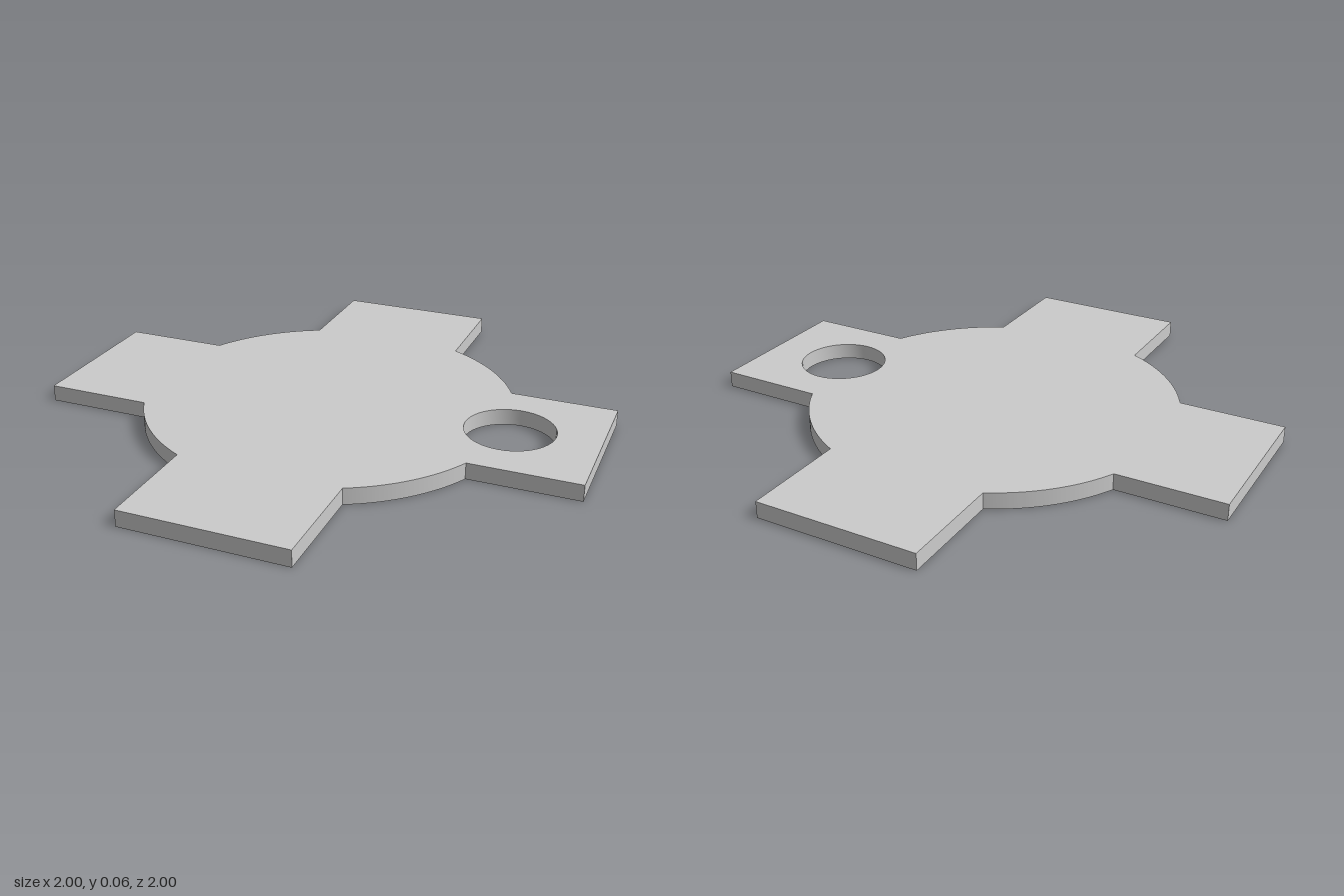
import * as THREE from 'three';
import { toCreasedNormals } from 'three/addons/utils/BufferGeometryUtils.js';

const REACH = 1, HALF_WIDTH = 0.297, RADIUS = 0.677, THICKNESS = 0.06;
const HOLE_X = 0.68, HOLE_RADIUS = 0.162;

// Outline: four square-ended arms joined by arcs of the central disc
function crossOutline() {
  const shape = new THREE.Shape();
  const start = Math.asin(HALF_WIDTH / RADIUS);
  for (let i = 0; i < 4; i++) {
    const turn = i * Math.PI / 2;
    const corners = [[REACH, -HALF_WIDTH], [REACH, HALF_WIDTH]];
    corners.forEach(([x, y], j) => {
      const p = new THREE.Vector2(x, y).rotateAround(new THREE.Vector2(), turn);
      if (i === 0 && j === 0) shape.moveTo(p.x, p.y);
      else shape.lineTo(p.x, p.y);
    });
    shape.absarc(0, 0, RADIUS, turn + start, turn + Math.PI / 2 - start, false);
  }
  shape.closePath();
  return shape;
}

export function createModel() {
  const group = new THREE.Group();
  group.name = 'crossPlate';

  // Round hole through the left arm
  const shape = crossOutline();
  const hole = new THREE.Path();
  hole.absarc(HOLE_X, 0, HOLE_RADIUS, 0, Math.PI * 2, true);
  shape.holes.push(hole);

  // Flat plate lying on the ground
  const extruded = new THREE.ExtrudeGeometry(shape, {
    depth: THICKNESS, bevelEnabled: false, curveSegments: 24,
  });
  extruded.rotateX(-Math.PI / 2);
  const plate = new THREE.Mesh(
    toCreasedNormals(extruded, Math.PI / 9),
    new THREE.MeshStandardMaterial({ color: 0xcccccc }),
  );
  plate.name = 'plate';
  group.add(plate);
  return group;
}
